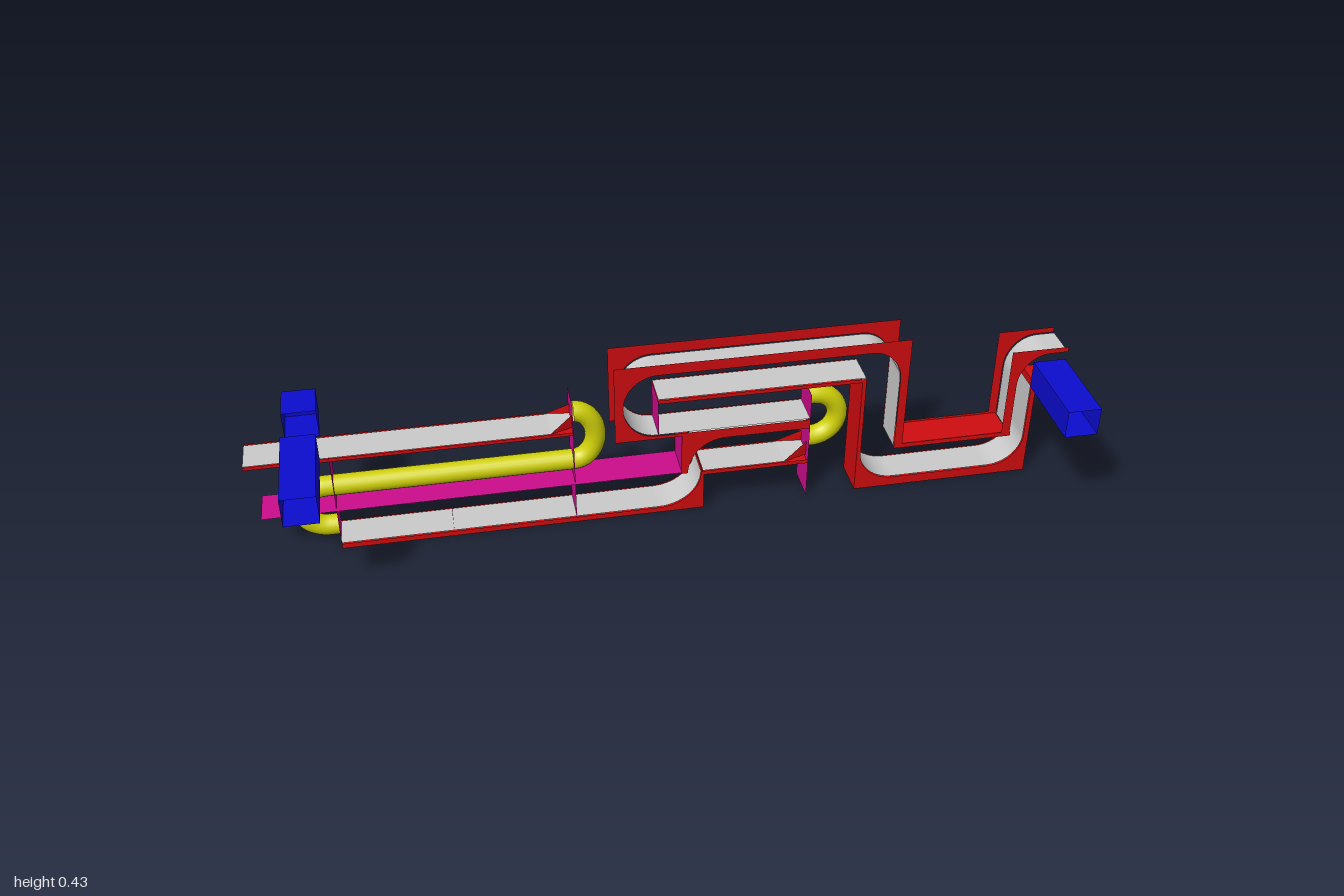
import * as THREE from 'three';

const paint = (color) => new THREE.MeshStandardMaterial({ color, side: THREE.DoubleSide });
const GREY = paint(0xcccccc);
const RED = paint(0xd00c10);
const BLUE = paint(0x0c0cd0);
const YELLOW = paint(0xd2d20a);
const MAGENTA = paint(0xcc0c8c);

const BACK = -0.119, FRONT = -0.024, MID = -0.0715;

// Outline steps: [x, y] is a line, [x, y, cx, cy] a rounded turn with corner (cx, cy)
function trace(path, steps) {
  let [px, py] = steps[0];
  path.moveTo(px, py);
  for (const [x, y, cx, cy] of steps.slice(1)) {
    if (cx === undefined) path.lineTo(x, y);
    else {
      const k = 0.5523;
      path.bezierCurveTo(px + (cx - px) * k, py + (cy - py) * k, x + (cx - x) * k, y + (cy - y) * k, x, y);
    }
    px = x; py = y;
  }
  return path;
}

export function createModel() {
  const model = new THREE.Group();

  function add(name, geometry, material) {
    const mesh = new THREE.Mesh(geometry, material);
    mesh.name = name;
    model.add(mesh);
    return mesh;
  }

  function quads(name, material, list) {
    const pos = [];
    for (const [a, b, c, d] of list) pos.push(...a, ...b, ...c, ...a, ...c, ...d);
    const g = new THREE.BufferGeometry();
    g.setAttribute('position', new THREE.Float32BufferAttribute(pos, 3));
    g.computeVertexNormals();
    add(name, g, material);
  }

  // Sheet swept across the depth of the channel along a traced line
  function ribbon(name, material, steps, z0 = BACK, z1 = FRONT) {
    const list = [];
    const pts = trace(new THREE.Path(), steps).getPoints(14);
    for (let i = 1; i < pts.length; i++) {
      const p = pts[i - 1], q = pts[i];
      list.push([[p.x, p.y, z1], [q.x, q.y, z1], [q.x, q.y, z0], [p.x, p.y, z0]]);
    }
    quads(name, material, list);
  }
  const lining = (name, steps) => ribbon(name, GREY, steps, -0.115, -0.028);

  // Matching front and back side plates
  function sidePlates(name, steps) {
    const g = new THREE.ShapeGeometry(trace(new THREE.Shape(), steps), 14);
    for (const z of [BACK, FRONT]) add(name, g, RED).position.z = z;
  }

  // Start track
  sidePlates('startTrackSide', [[-1, 0.258], [-0.235, 0.258], [-0.235, 0.267], [-1, 0.267]]);
  ribbon('startTrackBottom', RED, [[-1, 0.258], [-0.235, 0.258]]);
  lining('startTrackFloor', [[-1, 0.266], [-0.285, 0.266]]);

  // Bottom track with upward turn
  const lowTurn = [[-0.805, 0.014], [-0.03, 0.014], [0.075, 0.11, 0.075, 0.014]];
  sidePlates('bottomTrackSide', [...lowTurn, [0.082, 0.11], [0.082, 0], [-0.805, 0]]);
  ribbon('bottomTrackBase', RED, [[-0.805, 0], [0.082, 0], [0.082, 0.11]]);
  lining('bottomTrackFloor', lowTurn);

  // Middle track below the return pipe
  sidePlates('middleTrackSide', [[0.08, 0.1], [0.345, 0.1], [0.345, 0.111], [0.08, 0.111]]);
  ribbon('middleTrackBase', RED, [[0.08, 0.1], [0.345, 0.1]]);
  lining('middleTrackFloor', [[0.08, 0.11], [0.29, 0.11]]);

  // Rounded ceiling over the middle track, flat top is the loop floor
  const ceiling = [[0.042, 0.11], [0.135, 0.205, 0.042, 0.205], [0.345, 0.205]];
  sidePlates('middleCeilingSide', [...ceiling, [0.345, 0.23], [0.026, 0.23], [0.026, 0.11]]);
  lining('middleCeiling', ceiling);

  // Upper loop
  const loop = [[0.345, 0.231], [-0.035, 0.231], [-0.115, 0.317, -0.115, 0.231],
    [-0.03, 0.403, -0.115, 0.403], [0.49, 0.403], [0.565, 0.32, 0.565, 0.403], [0.565, 0.12]];
  sidePlates('upperLoopSide', [...loop, [0.586, 0.12], [0.586, 0.431], [-0.136, 0.431],
    [-0.136, 0.222], [0.345, 0.222]]);
  lining('upperLoopLining', loop);
  ribbon('loopShelfBottom', RED, [[-0.03, 0.323], [0.472, 0.323]]);
  lining('loopShelfTop', [[-0.03, 0.332], [0.48, 0.332]]);
  sidePlates('loopShelfSide', [[-0.03, 0.322], [0.475, 0.322], [0.475, 0.332], [-0.03, 0.332]]);

  // Deep dip on the right
  const dip = [[0.48, 0.332], [0.48, 0.11], [0.57, 0.027, 0.48, 0.027], [0.82, 0.027],
    [0.907, 0.11, 0.907, 0.027], [0.907, 0.258]];
  sidePlates('dipSide', [...dip, [0.92, 0.258], [0.92, 0.002], [0.47, 0.002], [0.47, 0.332]]);
  ribbon('dipOuter', RED, [[0.47, 0.325], [0.47, 0.002], [0.92, 0.002], [0.92, 0.258], [0.99, 0.258]]);
  lining('dipLining', dip);
  sidePlates('dipCeilingSide', [[0.565, 0.115], [0.87, 0.115], [0.87, 0.128], [0.565, 0.128]]);
  ribbon('dipCeiling', RED, [[0.565, 0.122], [0.866, 0.122]]);

  // Exit hood
  const hood = [[0.868, 0.12], [0.868, 0.265], [0.945, 0.35, 0.868, 0.35], [0.99, 0.35]];
  sidePlates('exitHoodSide', [...hood, [0.99, 0.364], [0.846, 0.364], [0.846, 0.12]]);
  lining('exitHoodLining', hood);

  // Funnels narrowing from a track into a pipe mouth
  for (const [x0, x1, y, rise] of [[-0.288, -0.235, 0.266, 0.035], [0.285, 0.345, 0.11, 0.04]]) {
    const wide = 0.045, thin = 0.024, lip = y + rise * 0.25;
    quads('funnelFloor', GREY, [[[x0, y, MID + wide], [x1, lip, MID + thin], [x1, lip, MID - thin], [x0, y, MID - wide]]]);
    quads('funnelWall', RED, [1, -1].map((s) => [[x0, y, MID + s * wide], [x1, y, MID + s * thin],
      [x1, y + rise, MID + s * thin], [x0, y + 0.002, MID + s * wide]]));
  }

  // Pipes: straight runs joined by half-circle bends
  class Bend extends THREE.Curve {
    constructor(x, y, rx, ry) { super(); Object.assign(this, { x, y, rx, ry }); }
    getPoint(t, out = new THREE.Vector3()) {
      const a = (t - 0.5) * Math.PI;
      return out.set(this.x + this.rx * Math.cos(a), this.y + this.ry * Math.sin(a), MID);
    }
  }
  const R = 0.0255;
  function straight(name, x0, x1, y) {
    const g = new THREE.CylinderGeometry(R, R, x1 - x0, 20, 1, true).rotateZ(Math.PI / 2);
    add(name, g, YELLOW).position.set((x0 + x1) / 2, y, MID);
  }
  const bend = (name, ...p) => add(name, new THREE.TubeGeometry(new Bend(...p), 24, R, 20), YELLOW);
  straight('longPipe', -0.83, -0.23, 0.157);
  bend('leftPipeBend', -0.827, 0.099, -0.063, 0.058);
  straight('leftPipeMouth', -0.83, -0.805, 0.041);
  bend('middlePipeBend', -0.23, 0.2265, 0.053, 0.0695);
  bend('rightPipeBend', 0.362, 0.2125, 0.063, 0.0625);
  for (const y of [0.15, 0.275]) straight('rightPipeMouth', 0.345, 0.362, y);

  // Thin supports
  for (const [x, y0, y1] of [[-0.805, 0, 0.262], [-0.535, 0, 0.113], [-0.235, 0, 0.34],
    [-0.03, 0.225, 0.325], [0.345, 0, 0.3]])
    ribbon('uprightSupport', MAGENTA, [[x, y0], [x, y1]]);
  ribbon('levelSupport', MAGENTA, [[-0.98, 0.113], [0.03, 0.113]]);
  ribbon('blockWall', MAGENTA, [[0.027, 0.113], [0.027, 0.225]]);

  // Square chutes, open at the ends
  function chute(name, x0, x1, y0, y1, z0, z1) {
    ribbon(name, BLUE, [[x0, y0], [x1, y0], [x1, y1], [x0, y1], [x0, y0]], z0, z1);
  }
  chute('entryChuteFront', -0.905, -0.825, 0.268, 0.34, FRONT, 0.217);
  chute('entryChuteBack', -0.905, -0.825, 0.268, 0.34, -0.215, BACK);
  quads('entryChuteEnd', BLUE, [[[-0.905, 0.268, -0.215], [-0.825, 0.268, -0.215],
    [-0.825, 0.34, -0.215], [-0.905, 0.34, -0.215]]]);
  chute('exitChute', 0.904, 0.985, 0.259, 0.33, FRONT, 0.2);

  return model;
}
